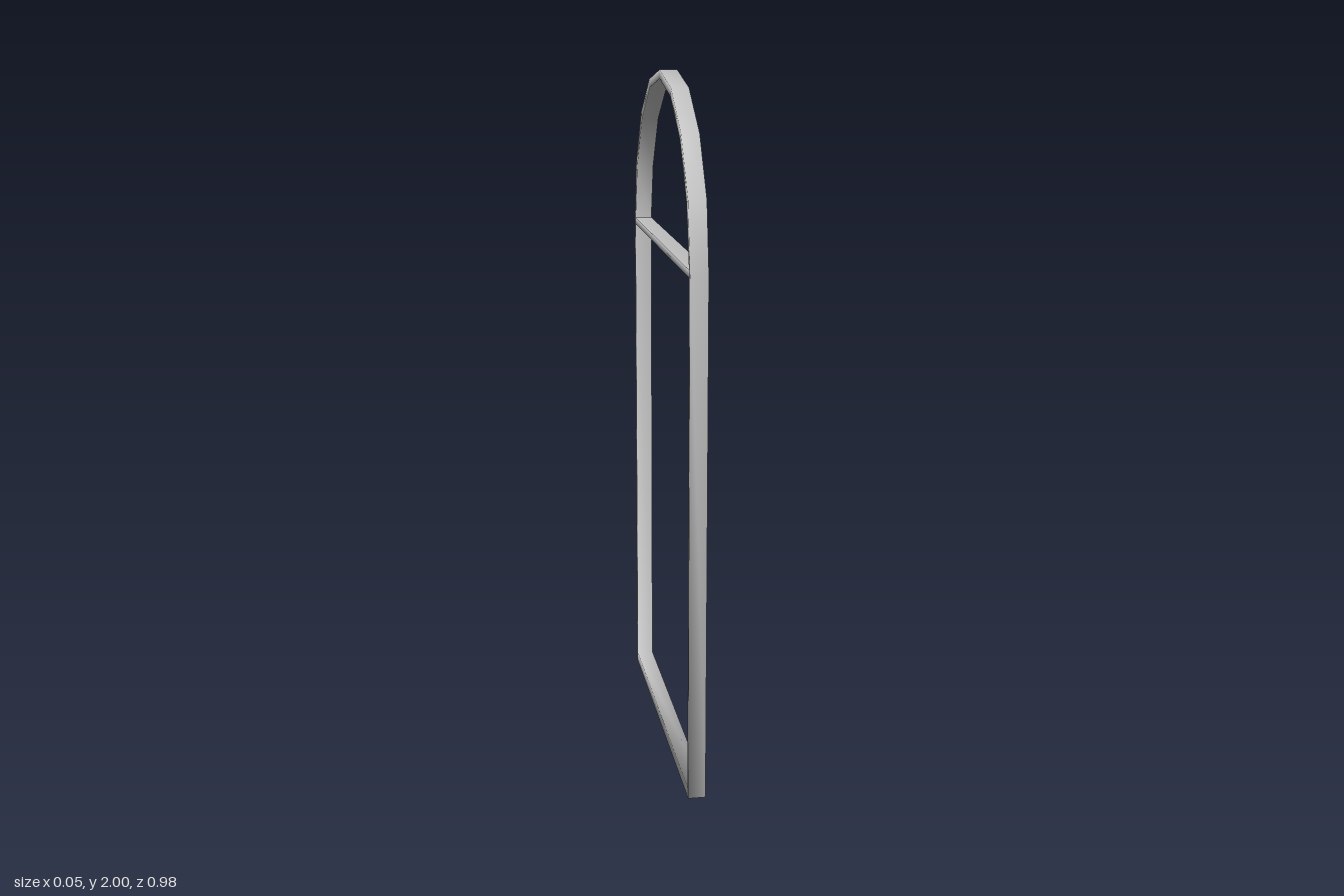
import * as THREE from 'three';

const HALF_DEPTH = 0.025; // half width of the bars along x
const SPRING = 1.505;     // height where the arch starts
const ARCH_STEPS = 8;
// Corners of the bar section: [side along x, 0 = outer edge or 1 = inner edge]
const SECTION = [[-1, 0], [1, 0], [1, 1], [-1, 1]];

// Closed four-sided bar with soft normals between two outlines, points as [z, y]
function frameRing(outer, inner) {
  const positions = [], index = [], n = outer.length, sides = SECTION.length;
  for (let i = 0; i < n; i++) {
    SECTION.forEach(([side, edge], j) => {
      const [z, y] = edge ? inner[i] : outer[i];
      positions.push(side * HALF_DEPTH, y, z);
      const k = (j + 1) % sides, m = (i + 1) % n;
      const p = i * sides + j, q = m * sides + j, r = m * sides + k, s = i * sides + k;
      index.push(p, q, r, p, r, s);
    });
  }
  const geometry = new THREE.BufferGeometry();
  geometry.setAttribute('position', new THREE.Float32BufferAttribute(positions, 3));
  geometry.setIndex(index);
  geometry.computeVertexNormals();
  return geometry;
}

// Two feet joined by a half-round arch
function outline(archRadius, baseRadius, footRadius, footY) {
  const points = [[-footRadius, footY]];
  for (let i = 0; i <= ARCH_STEPS; i++) {
    const a = (i / ARCH_STEPS) * Math.PI;
    const r = i === 0 || i === ARCH_STEPS ? baseRadius : archRadius;
    points.push([-Math.cos(a) * r, SPRING + Math.sin(a) * r]);
  }
  points.push([footRadius, footY]);
  return points;
}

export function createModel() {
  const group = new THREE.Group();
  group.name = 'archedFrame';
  const metal = new THREE.MeshStandardMaterial({ color: 0xc4c4c4 });
  metal.name = 'light grey metal';

  // Outer frame: posts, sill and arch in one sweep
  const frame = new THREE.Mesh(
    frameRing(outline(0.495, 0.49, 0.49, 0), outline(0.47, 0.477, 0.478, 0.03)), metal);
  frame.name = 'outerFrame';
  group.add(frame);

  // Crossbar under the arch: a four-sided bar with soft normals
  const bar = new THREE.CylinderGeometry(Math.SQRT2, Math.SQRT2, 0.966, 4, 1, true, Math.PI / 4);
  bar.rotateX(Math.PI / 2);
  bar.scale(HALF_DEPTH, 0.01, 1);
  const crossbar = new THREE.Mesh(bar, metal);
  crossbar.name = 'crossbar';
  crossbar.position.y = 1.505;
  group.add(crossbar);

  return group;
}
